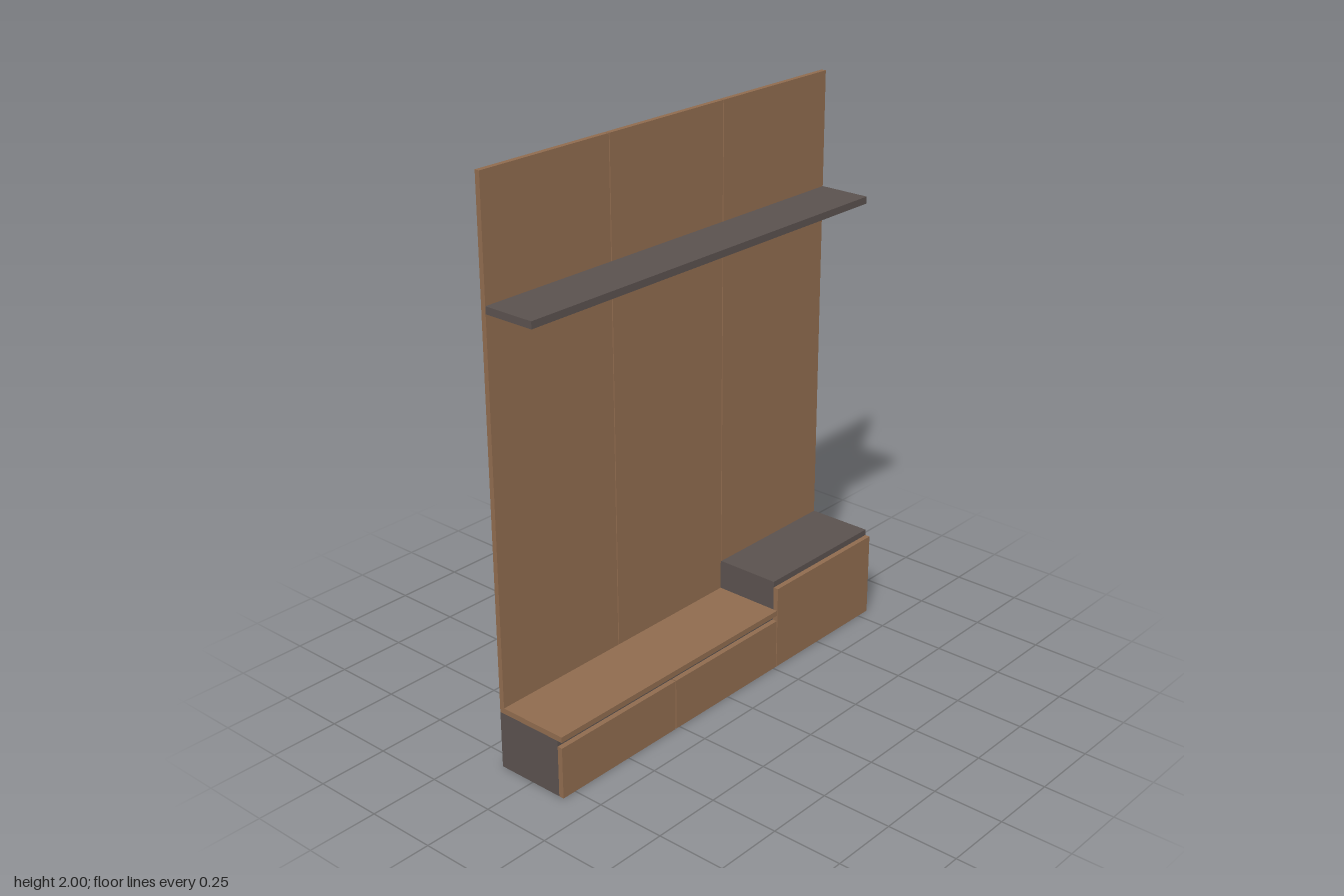
import * as THREE from 'three';

export function createModel() {
  const group = new THREE.Group();
  const wood = new THREE.MeshStandardMaterial({ color: 0x8f6b4e });
  wood.name = 'walnut wood';
  const grey = new THREE.MeshStandardMaterial({ color: 0x5a514e });
  grey.name = 'dark grey';

  // Box given by its extents on each axis
  function box(name, material, [x0, x1], [y0, y1], [z0, z1]) {
    const mesh = new THREE.Mesh(new THREE.BoxGeometry(x1 - x0, y1 - y0, z1 - z0), material);
    mesh.position.set((x0 + x1) / 2, (y0 + y1) / 2, (z0 + z1) / 2);
    mesh.name = name;
    group.add(mesh);
  }

  const back = -0.138, panelFace = -0.12, bodyFront = 0.119, front = 0.138;
  const columns = [[-0.803, -0.27], [-0.266, 0.264], [0.268, 0.803]];
  const low = [-0.803, 0.264], tall = columns[2];

  // Wall panels, standing on the cabinets
  columns.forEach((x, i) => box('wallPanel', wood, x, [i === 2 ? 0.332 : 0.226, 2], [back, panelFace]));

  // Low cabinet with two drawers and a wooden top
  box('lowCabinetBody', grey, low, [0, 0.206], [back, bodyFront]);
  box('lowCabinetTop', wood, low, [0.206, 0.226], [back, front]);
  for (const x of columns.slice(0, 2)) box('drawerFront', wood, x, [0, 0.185], [bodyFront, front]);

  // Tall cabinet with one door
  box('tallCabinetBody', grey, tall, [0, 0.332], [back, bodyFront]);
  box('tallCabinetDoor', wood, tall, [0, 0.31], [bodyFront, front]);

  // Long shelf
  box('shelf', grey, [-0.803, 0.803], [1.567, 1.592], [panelFace, 0.07]);

  // Thin tapered brackets set in the panel seams
  const profile = new THREE.Shape([[0.06, 1.567], [0.13, 1.567], [0.13, 1.554], [-0.06, 1.565]]
    .map(([z, y]) => new THREE.Vector2(z, y)));
  for (const x of [-0.268, 0.266]) {
    const geometry = new THREE.ExtrudeGeometry(profile, { depth: 0.004, bevelEnabled: false });
    geometry.translate(0, 0, -0.002).rotateY(Math.PI / 2);
    const bracket = new THREE.Mesh(geometry, grey);
    bracket.position.x = x;
    bracket.name = 'shelfBracket';
    group.add(bracket);
  }

  return group;
}
